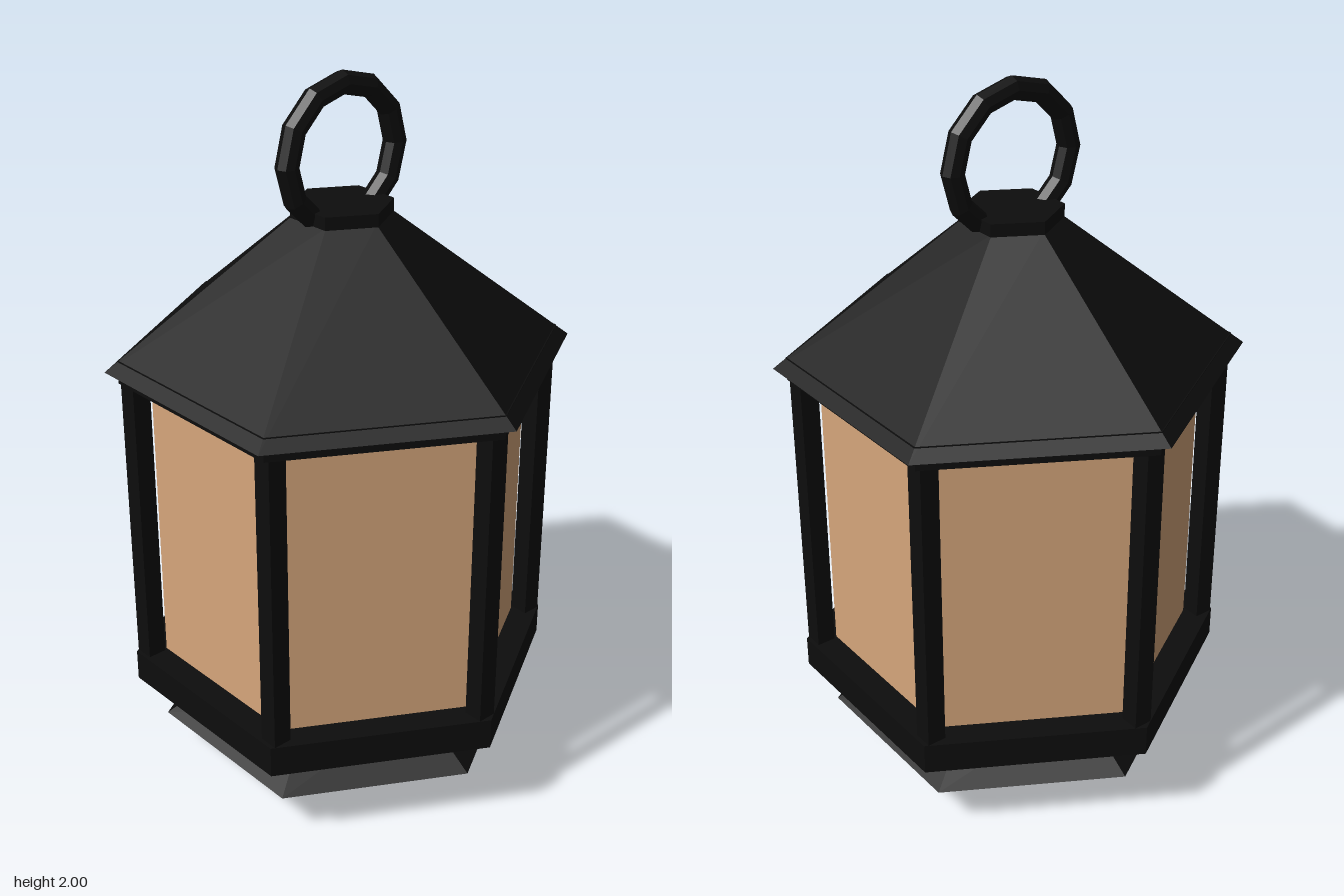
import * as THREE from 'three';

export function createModel() {
  const group = new THREE.Group();
  group.name = 'lantern';

  const iron = new THREE.MeshStandardMaterial({ color: 0x0d0d0d });
  iron.name = 'black iron';
  const amber = new THREE.MeshStandardMaterial({ color: 0xd6a67b });
  amber.name = 'amber glass';

  function add(name, geometry, material, x = 0, y = 0, z = 0) {
    const flat = geometry.index ? geometry.toNonIndexed() : geometry;
    flat.computeVertexNormals(); // faceted
    const mesh = new THREE.Mesh(flat, material);
    mesh.name = name;
    mesh.position.set(x, y, z);
    group.add(mesh);
    return mesh;
  }

  // Six-sided solid between two heights, corners pointing along z
  function hex(name, bottomRadius, topRadius, y0, y1, material = iron) {
    return add(name, new THREE.CylinderGeometry(topRadius, bottomRadius, y1 - y0, 6), material, 0, (y0 + y1) / 2);
  }

  // Base
  add('finial', new THREE.SphereGeometry(0.064, 8, 6), iron, 0, 0.066);
  hex('baseSkirt', 0.522, 0.315, 0.13, 0.27);
  hex('bottomRim', 0.6, 0.6, 0.265, 0.355);

  // Glass body and corner posts
  hex('glass', 0.515, 0.515, 0.35, 1.205, amber);
  for (let i = 0; i < 6; i++) {
    const a = (i * Math.PI) / 3;
    add('post' + (i + 1), new THREE.BoxGeometry(0.054, 0.87, 0.054), iron,
      0.557 * Math.sin(a), 0.777, 0.557 * Math.cos(a));
  }

  // Roof
  hex('topRim', 0.6, 0.6, 1.2, 1.265);
  hex('roof', 0.635, 0.13, 1.235, 1.63);
  hex('roofCap', 0.137, 0.137, 1.625, 1.66);

  // Carrying ring
  add('ring', new THREE.TorusGeometry(0.183, 0.031, 8, 12), iron, 0, 1.786);

  return group;
}
